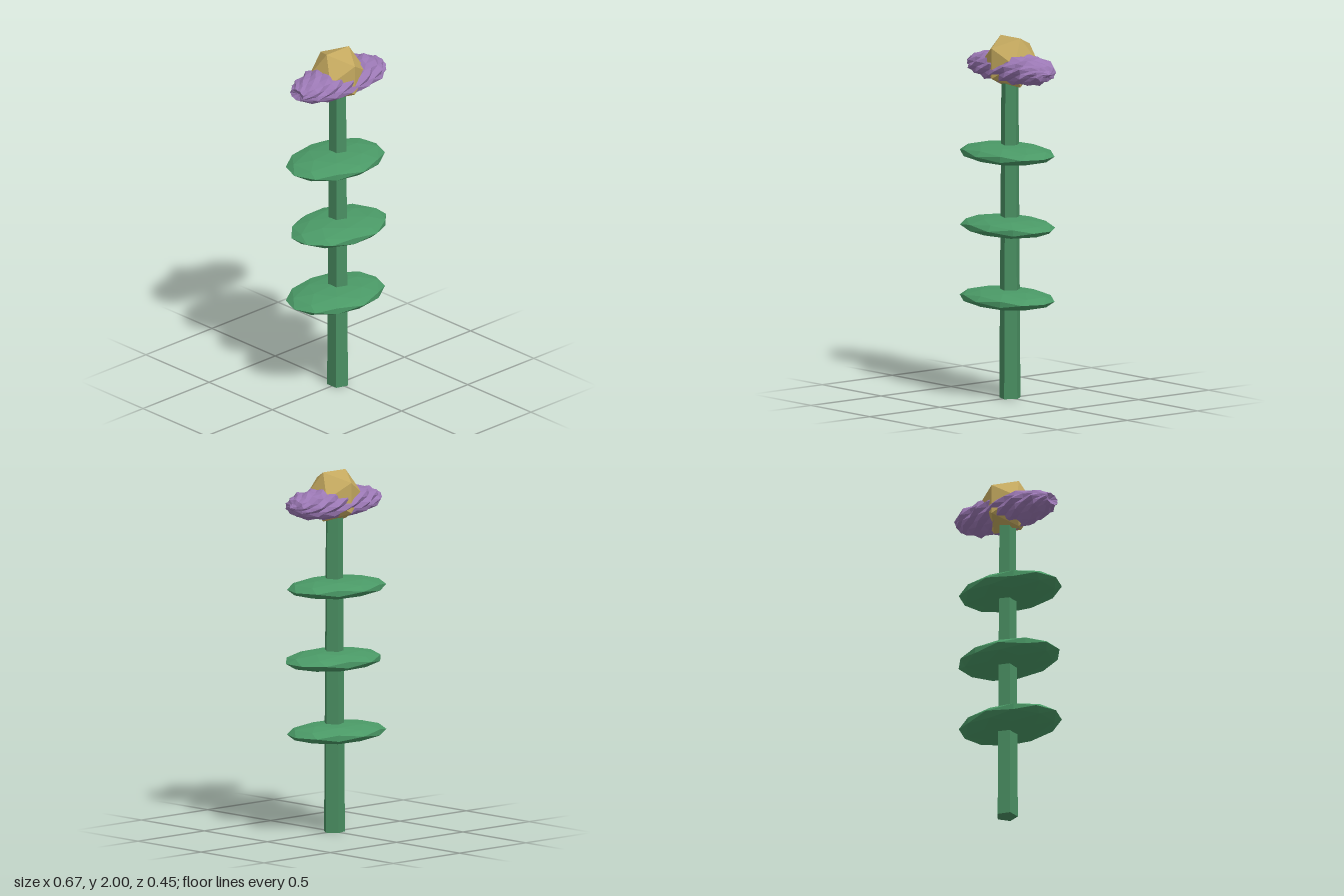
import * as THREE from 'three';

const paint = (color) => new THREE.MeshStandardMaterial({ color, flatShading: true });

function part(name, geometry, material, x = 0, y = 0, z = 0) {
  const flat = geometry.index ? geometry.toNonIndexed() : geometry;
  flat.computeVertexNormals();
  const mesh = new THREE.Mesh(flat, material);
  mesh.name = name;
  mesh.position.set(x, y, z);
  return mesh;
}

// Ragged flower head: a lathe lying along x whose alternate vertices are pulled in
function petalGeometry() {
  const profile = [
    [-0.29, 0], [-0.31, 0.055], [-0.28, 0.075], [-0.245, 0.108], [-0.19, 0.118],
    [-0.14, 0.142], [-0.08, 0.142], [-0.02, 0.15], [0.04, 0.144], [0.105, 0.15],
    [0.16, 0.128], [0.22, 0.132], [0.26, 0.098], [0.3, 0.075], [0.31, 0.035], [0.335, 0],
  ];
  const sides = 18;
  const geo = new THREE.LatheGeometry(profile.map(([x, r]) => new THREE.Vector2(r, x)), sides);
  const pos = geo.attributes.position;
  for (let i = 0; i < pos.count; i++) {
    const ring = i % profile.length;
    const side = Math.floor(i / profile.length);
    const pull = (ring + side) % 2 ? 0.87 : 1;
    pos.setX(i, pos.getX(i) * pull);
    pos.setZ(i, pos.getZ(i) * pull);
  }
  return geo.rotateZ(-Math.PI / 2).scale(1, 0.6, 1);
}

export function createModel() {
  const model = new THREE.Group();
  model.name = 'flower';

  // Five-sided tapering stem with one corner towards +x
  const stem = new THREE.CylinderGeometry(0.049, 0.061, 1.8, 5).rotateY(Math.PI / 2);
  model.add(part('stem', stem, paint(0x4a8f62), 0, 0.9, -0.002));

  // Three flattened leaf discs, the middle one turned
  const green = paint(0x4a9966);
  [[0.55, -0.023, 0, 0], [0.952, -0.007, 0.01, 0.277], [1.353, -0.023, 0, 0]].forEach(([y, x, z, turn]) => {
    const leaf = new THREE.IcosahedronGeometry(1, 1).rotateY(turn).scale(0.31, 0.056, 0.223);
    model.add(part('leaf', leaf, green, x, y, z));
  });

  // Petals and centre
  model.add(part('petals', petalGeometry(), paint(0x9b78b4), 0, 1.83, -0.005));
  model.add(part('flowerCentre', new THREE.IcosahedronGeometry(0.16, 0), paint(0xc4a95f), 0, 1.864, -0.005));

  return model;
}
